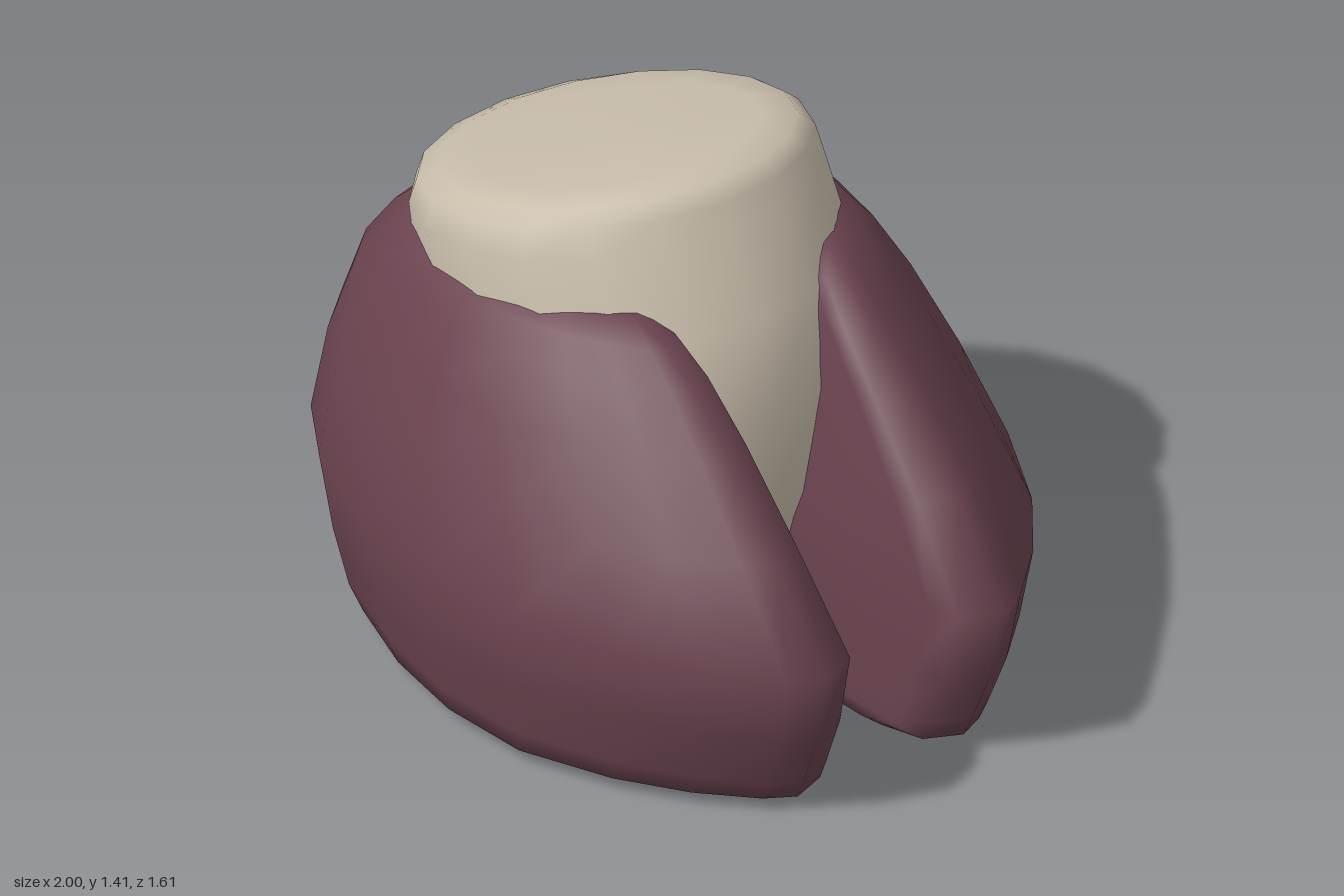
import * as THREE from 'three';

const hornMaterial = new THREE.MeshStandardMaterial({ color: 0x6a434f });
hornMaterial.name = 'dark horn';
const hideMaterial = new THREE.MeshStandardMaterial({ color: 0xcabfad });
hideMaterial.name = 'pale hide';

// Skin stacked rings (bottom to top, counterclockwise from above) and close both ends
function loft(rings, bottom, top) {
  const n = rings[0].length;
  const points = [...rings.flat(), bottom, top];
  const low = points.length - 2, high = points.length - 1;
  const last = (rings.length - 1) * n;
  const index = [];
  for (let i = 0; i < n; i++) {
    const j = (i + 1) % n;
    for (let r = 0; r < last; r += n) {
      index.push(r + i, r + j, r + n + j, r + i, r + n + j, r + n + i);
    }
    index.push(j, i, low, last + i, last + j, high);
  }
  const geometry = new THREE.BufferGeometry();
  geometry.setAttribute('position', new THREE.Float32BufferAttribute(points.flat(), 3));
  geometry.setIndex(index);
  geometry.computeVertexNormals();
  return geometry;
}

// Claw outline from above: length -1..1, width 0 (inner wall) .. 1 (outer wall)
const clawOutline = [
  [-1, 0.26], [-0.95, 0.48], [-0.8, 0.7], [-0.6, 0.86], [-0.3, 0.965], [0, 1],
  [0.31, 0.95], [0.6, 0.77], [0.8, 0.58], [0.95, 0.38], [1, 0.26], [0.95, 0.11],
  [0.85, 0.08], [0.4, 0.03], [0, 0], [-0.4, 0], [-0.85, 0], [-0.95, 0.04],
];

// Claw levels: y, heel x, toe x, inner z, outer z
const clawLevels = [
  [0, -0.7, 0.62, 0.13, 0.61],
  [0, -0.76, 0.68, 0.085, 0.66],
  [0.04, -0.83, 0.85, 0.085, 0.735],
  [0.1, -0.89, 0.88, 0.085, 0.75],
  [0.26, -0.95, 0.95, 0.085, 0.78],
  [0.47, -1, 1, 0.085, 0.805],
  [0.7, -0.955, 0.79, 0.115, 0.737],
  [0.9, -0.88, 0.58, 0.138, 0.66],
  [1.03, -0.78, 0.42, 0.16, 0.59],
  [1.1, -0.7, 0.32, 0.19, 0.53],
  [1.145, -0.58, 0.2, 0.25, 0.44],
];

function createClaw(side) {
  const rings = clawLevels.map(([y, heel, toe, inner, outer]) => {
    const ring = clawOutline.map(([u, w]) => [
      (heel + toe) / 2 + (u * (toe - heel)) / 2,
      y,
      side * (inner + w * (outer - inner)),
    ]);
    return side > 0 ? ring : ring.reverse();
  });
  return loft(rings, [-0.05, 0, side * 0.35], [-0.2, 1.15, side * 0.35]);
}

// Leg levels: back x, back y, front x, front y, half width in z
const legLevels = [
  [-0.45, 0.17, 0.05, 0.17, 0.22],
  [-0.6, 0.22, 0.2, 0.22, 0.36],
  [-0.7, 0.36, 0.31, 0.36, 0.46],
  [-0.76, 0.55, 0.37, 0.55, 0.5],
  [-0.79, 0.8, 0.39, 0.85, 0.525],
  [-0.81, 1.0, 0.33, 1.09, 0.535],
  [-0.81, 1.11, 0.2, 1.28, 0.53],
  [-0.79, 1.17, 0.175, 1.36, 0.51],
  [-0.73, 1.205, 0.13, 1.4, 0.465],
  [-0.62, 1.235, 0.05, 1.41, 0.37],
];

function createLeg() {
  const sides = 18;
  const rings = legLevels.map(([bx, by, fx, fy, half]) =>
    Array.from({ length: sides }, (_, i) => {
      const a = (i / sides) * Math.PI * 2;
      const c = Math.cos(a);
      return [
        (bx + fx) / 2 + (c * (fx - bx)) / 2,
        (by + fy) / 2 + (c * (fy - by)) / 2,
        -half * Math.sin(a),
      ];
    }));
  return loft(rings, [-0.2, 0.17, 0], [-0.29, 1.33, 0]);
}

export function createModel() {
  const group = new THREE.Group();
  group.name = 'clovenHoof';
  const add = (name, geometry, material) => {
    const mesh = new THREE.Mesh(geometry, material);
    mesh.name = name;
    group.add(mesh);
  };
  add('frontClaw', createClaw(1), hornMaterial);
  add('backClaw', createClaw(-1), hornMaterial);
  add('legStump', createLeg(), hideMaterial);
  return group;
}
